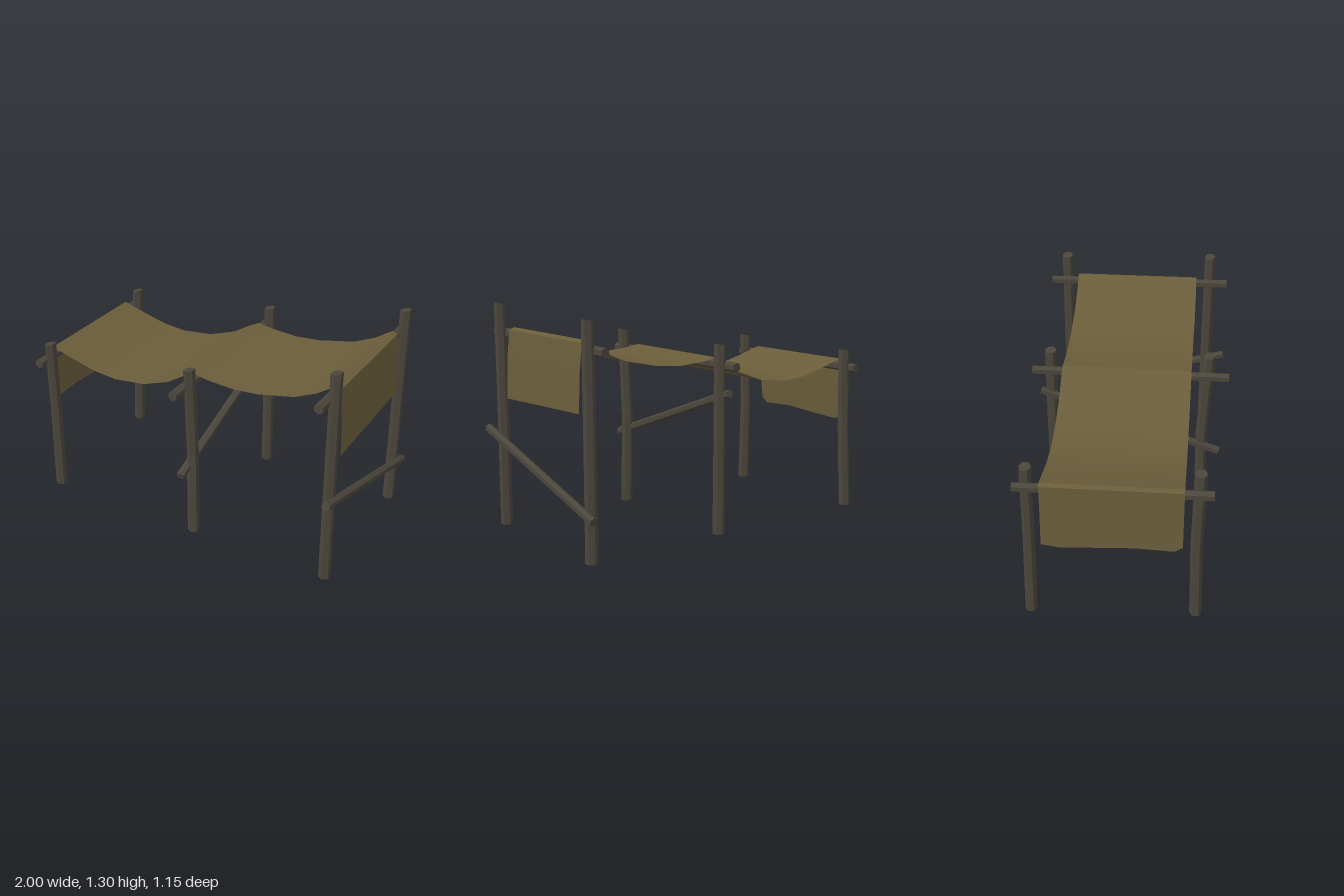
import * as THREE from 'three';
import { toCreasedNormals } from 'three/addons/utils/BufferGeometryUtils.js';

const wood = new THREE.MeshStandardMaterial({ color: 0x4b463c, flatShading: true });
wood.name = 'weathered wood';
const canvas = new THREE.MeshStandardMaterial({ color: 0x6a5d3b, side: THREE.DoubleSide });
canvas.name = 'tan canvas';

function named(geometry, material, name) {
  const mesh = new THREE.Mesh(geometry, material);
  mesh.name = name;
  return mesh;
}

// Upright six-sided post, bent through base, middle and top [x, z]
function post(name, height, base, middle, top) {
  const r = 0.035;
  const g = new THREE.CylinderGeometry(r * 0.95, r, height, 6, 2).translate(0, height / 2, 0);
  const p = g.attributes.position;
  for (let i = 0; i < p.count; i++) {
    const t = p.getY(i) / height;
    const c = t < 0.25 ? base : t < 0.75 ? middle : top;
    // slightly slanted cut at the top
    const cut = t > 0.75 ? p.getX(i) * 0.2 - 0.006 : 0;
    p.setXYZ(i, p.getX(i) + c[0], p.getY(i) + cut, p.getZ(i) + c[1]);
  }
  g.computeVertexNormals();
  return named(g, wood, name);
}

// Straight six-sided pole between two points
function pole(name, from, to, r = 0.028) {
  const a = new THREE.Vector3(...from), b = new THREE.Vector3(...to);
  const d = b.clone().sub(a);
  const mesh = named(new THREE.CylinderGeometry(r * 0.95, r, d.length(), 6), wood, name);
  mesh.position.copy(a).add(b).multiplyScalar(0.5);
  mesh.quaternion.setFromUnitVectors(new THREE.Vector3(0, 1, 0), d.normalize());
  return mesh;
}

// Sheet swept over z columns: left flap, two sagging spans, right flap
function canopy() {
  const zs = [0.355, 0.31, 0.1, -0.1, -0.3, -0.4];
  const leftHem = [0.555, 0.525, 0.535, 0.525, 0.515, 0.53];
  const span = [
    [-0.978, 0.72], [-0.972, 0.895], [-0.95, 0.908], [-0.8, 0.865], [-0.65, 0.828],
    [-0.5, 0.814], [-0.3, 0.838], [-0.13, 0.9], [-0.02, 0.97], [0.04, 1.0], [0.14, 0.985],
    [0.3, 0.975], [0.45, 0.988], [0.67, 1.035], [0.8, 1.095], [0.9, 1.163],
    [0.932, 1.15], [0.948, 1.0],
  ];
  const pos = [], index = [];
  const rows = span.length + 2;
  zs.forEach((z, c) => {
    const rightHem = THREE.MathUtils.mapLinear(z, 0.355, -0.4, 0.76, 0.785);
    const profile = [[-0.998, leftHem[c]], ...span, [0.956, rightHem]];
    profile.forEach(([x, y], r) => {
      pos.push(x, y, z);
      if (c && r) {
        const k = c * rows + r;
        index.push(k - rows - 1, k - rows, k, k - rows - 1, k, k - 1);
      }
    });
  });
  const g = new THREE.BufferGeometry();
  g.setAttribute('position', new THREE.Float32BufferAttribute(pos, 3));
  g.setIndex(index);
  return named(toCreasedNormals(g, 0.6), canvas, 'canopy');
}

export function createModel() {
  const model = new THREE.Group();
  model.name = 'canvasShelter';

  // Posts, tall end to low end
  model.add(
    post('tallFrontPost', 1.3, [0.94, 0.435], [0.94, 0.435], [0.943, 0.437]),
    post('tallBackPost', 1.28, [0.94, -0.475], [0.94, -0.475], [0.942, -0.472]),
    post('middleFrontPost', 1.09, [0.08, 0.435], [0.077, 0.427], [0.08, 0.457]),
    post('middleBackPost', 1.09, [0.08, -0.475], [0.08, -0.477], [0.077, -0.472]),
    post('lowFrontPost', 0.985, [-0.905, 0.437], [-0.907, 0.427], [-0.903, 0.435]),
    post('lowBackPost', 0.98, [-0.937, -0.485], [-0.915, -0.478], [-0.905, -0.475]),
  );

  // Bars that carry the cloth
  model.add(
    pole('tallCrossbar', [0.902, 1.125, 0.548], [0.902, 1.115, -0.57]),
    pole('middleCrossbar', [0.043, 0.962, 0.575], [0.043, 0.964, -0.578]),
    pole('lowCrossbar', [-0.94, 0.866, 0.508], [-0.94, 0.864, -0.545]),
  );

  // Slanted braces
  model.add(
    pole('tallBrace', [0.975, 0.56, 0.553], [0.975, 0.247, -0.55], 0.026),
    pole('middleBrace', [0.058, 0.425, 0.535], [0.058, 0.815, -0.537], 0.026),
  );

  model.add(canopy());
  return model;
}
